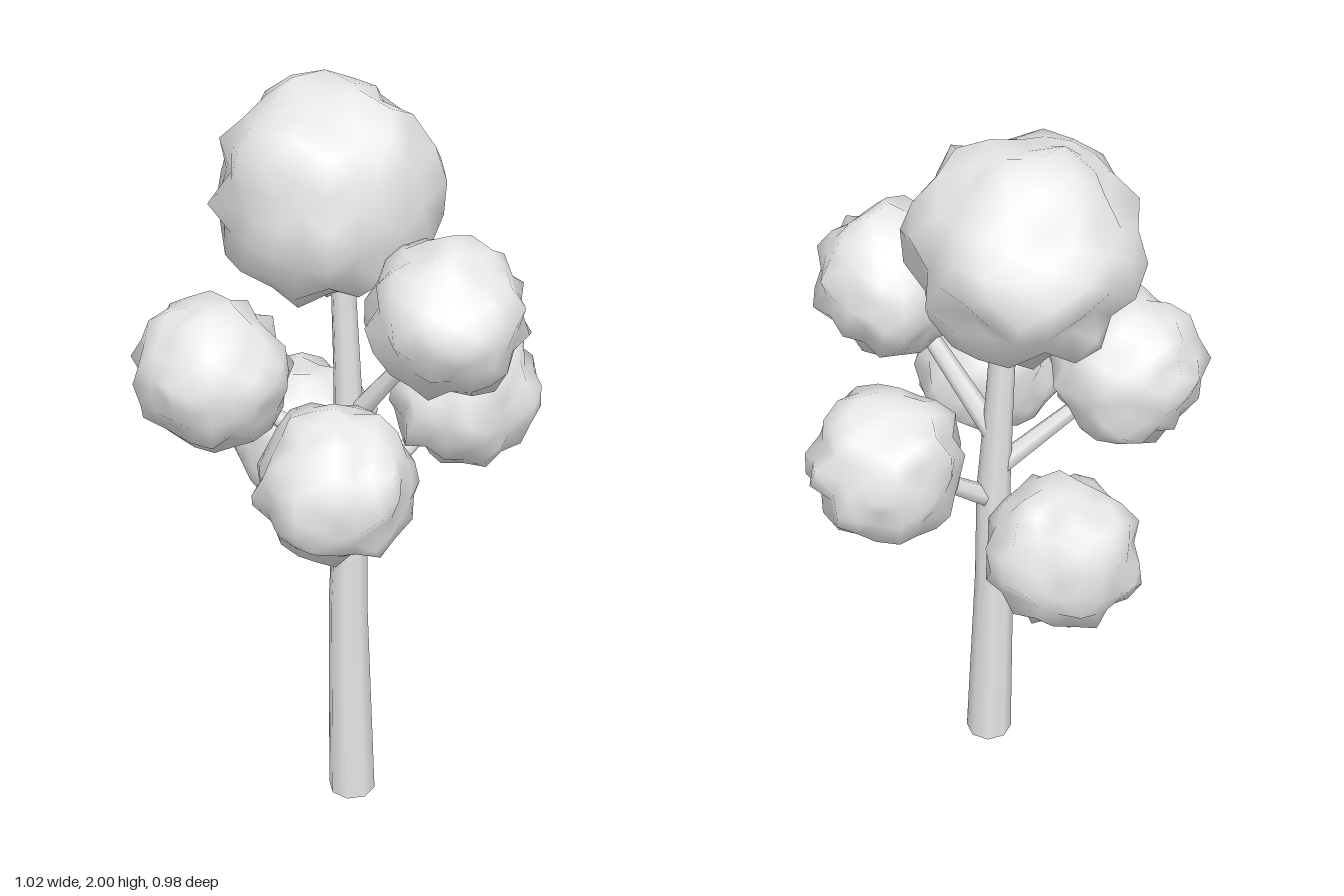
import * as THREE from 'three';
import { mergeVertices } from 'three/addons/utils/BufferGeometryUtils.js';

// Double sided because the trunk is an open tube
const clay = new THREE.MeshStandardMaterial({ color: 0xe7e7e7, side: THREE.DoubleSide });
clay.name = 'pale grey';

// Small seeded random generator, -1..1
function seeded(seed) {
  let s = seed * 7919 + 17;
  return () => {
    s = (s * 16807) % 2147483647;
    return (2 * s) / 2147483647 - 1;
  };
}

// Spiky, lumpy foliage ball around a centre
function foliage(name, center, radius, seed) {
  const rand = seeded(seed);
  for (let i = 0; i < 5; i++) rand();
  let geo = new THREE.IcosahedronGeometry(radius, 3);
  geo.deleteAttribute('normal');
  geo.deleteAttribute('uv');
  geo = mergeVertices(geo, 1e-4);
  const p = geo.attributes.position;
  const v = new THREE.Vector3();
  for (let i = 0; i < p.count; i++) {
    v.fromBufferAttribute(p, i).multiplyScalar(1 + 0.115 * rand());
    p.setXYZ(i, v.x, v.y, v.z);
  }
  geo.computeVertexNormals();
  const mesh = new THREE.Mesh(geo, clay);
  mesh.name = name;
  mesh.position.set(...center);
  return mesh;
}

// Tapered, bending, open trunk: each level is [x, y, z, radius]
function trunk(levels) {
  const n = levels.length - 1;
  const geo = new THREE.CylinderGeometry(1, 1, 1, 8, n, true);
  const p = geo.attributes.position;
  for (let i = 0; i < p.count; i++) {
    const [x, y, z, r] = levels[Math.round((p.getY(i) + 0.5) * n)];
    p.setXYZ(i, x + p.getX(i) * r, y, z + p.getZ(i) * r);
  }
  const mesh = new THREE.Mesh(geo, clay);
  mesh.name = 'trunk';
  return mesh;
}

// Straight tapered branch between two points
function branch(name, from, to) {
  const a = new THREE.Vector3(...from);
  const b = new THREE.Vector3(...to);
  const dir = b.clone().sub(a);
  const mesh = new THREE.Mesh(new THREE.CylinderGeometry(0.018, 0.03, dir.length(), 6), clay);
  mesh.name = name;
  mesh.position.copy(a).add(b).multiplyScalar(0.5);
  mesh.quaternion.setFromUnitVectors(new THREE.Vector3(0, 1, 0), dir.normalize());
  return mesh;
}

export function createModel() {
  const tree = new THREE.Group();
  tree.name = 'tree';

  tree.add(trunk([
    [-0.055, 0, 0.1, 0.065],
    [-0.045, 0.6, 0.066, 0.053],
    [-0.023, 0.92, 0.045, 0.045],
    [-0.003, 1.25, 0.0, 0.036],
    [0, 1.6, -0.03, 0.03],
  ]));

  // Crown on the trunk tip
  tree.add(foliage('crown', [-0.003, 1.722, -0.092], 0.272, 1));

  // Side clumps, each carried by its own branch
  const clumps = [
    ['upperFront', [0.092, 1.505, 0.298], [0.0, 1.13, 0.02]],
    ['rightFront', [-0.225, 1.138, 0.28], [-0.055, 0.87, 0.07]],
    ['rightBack', [-0.31, 1.272, -0.155], [-0.02, 1.0, 0.03]],
    ['left', [0.308, 1.148, 0.078], [-0.02, 0.89, 0.05]],
    ['lowerBack', [0.042, 0.94, -0.288], [-0.035, 0.73, 0.04]],
  ];
  clumps.forEach(([name, center, start], i) => {
    tree.add(foliage(name + 'Foliage', center, 0.193, i + 2));
    tree.add(branch(name + 'Branch', start, center));
  });
  return tree;
}
